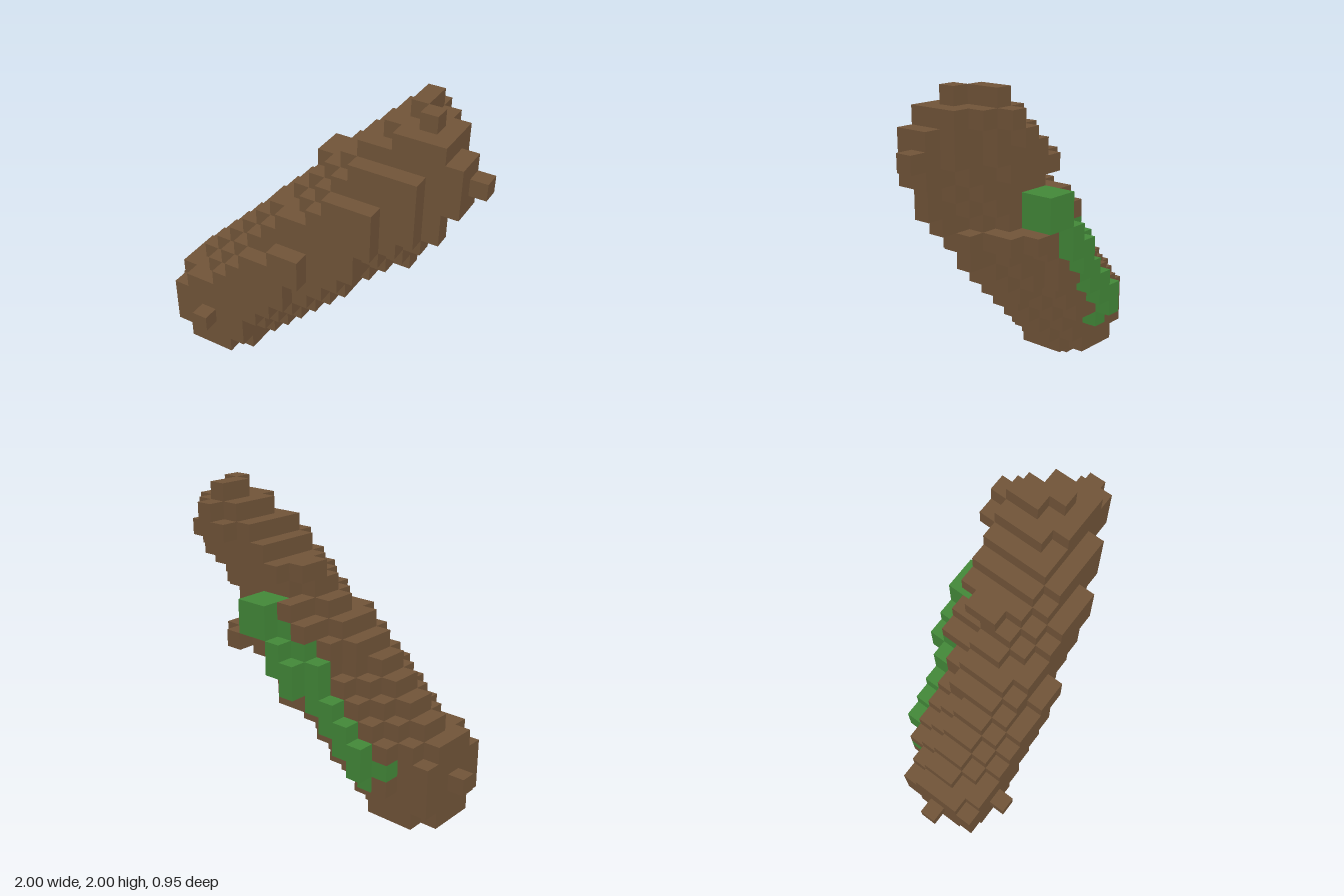
import * as THREE from 'three';

const S = 2 / 19;            // cube size
const NX = 19, NY = 19, NZ = 9;

// Lumps and knots added to the trunk: [x0, x1, y0, y1, z0, z1] in cubes
const KNOTS = [
  // ragged upper end
  [17, 17, 14, 16, 3, 4], [18, 18, 15, 15, 3, 3], [15, 16, 16, 16, 2, 4],
  [13, 15, 17, 17, 1, 3], [16, 16, 17, 17, 2, 4], [14, 15, 17, 17, 4, 4],
  [14, 14, 18, 18, 1, 2], [15, 15, 18, 18, 3, 3],
  [14, 14, 17, 17, 0, 0], [13, 13, 16, 16, 0, 0],
  // stepped ridge behind the upper end
  [10, 11, 14, 14, 1, 4], [11, 12, 15, 15, 1, 3], [12, 13, 16, 16, 1, 3],
  // knots on the sides
  [9, 9, 14, 14, 2, 3], [14, 14, 9, 9, 3, 3], [12, 12, 9, 9, 5, 6],
  [12, 12, 10, 10, 0, 1], [13, 13, 10, 10, 1, 1],
  [8, 9, 7, 8, 1, 1], [3, 3, 5, 5, 2, 2], [8, 8, 11, 11, 1, 1], [9, 9, 12, 12, 1, 1],
];

// Moss climbing along the back
const MOSS = [
  [3, 3, 4, 4, 2, 2], [4, 4, 3, 3, 2, 2], [4, 4, 4, 5, 1, 1], [5, 5, 5, 6, 1, 1],
  [6, 6, 6, 7, 1, 1], [7, 7, 7, 9, 1, 1], [8, 8, 8, 9, 0, 0], [8, 8, 10, 10, 1, 1],
  [9, 9, 9, 10, 0, 0], [9, 9, 11, 11, 1, 1], [10, 11, 11, 12, 0, 1],
];

const inBoxes = (boxes, x, y, z) => boxes.some(([a, b, c, d, e, f]) =>
  x >= a && x <= b && y >= c && y <= d && z >= e && z <= f);

// Leaning trunk: cubes within a radius of its axis, with a hollow at the back
const axis = new THREE.Line3(new THREE.Vector3(3, 3, 5), new THREE.Vector3(14, 14, 3.1));
const p = new THREE.Vector3(), q = new THREE.Vector3();
function inTrunk(x, y, z) {
  if (z === 0) return false;
  // hollow at the back, below the upper end
  if (z === 1 && (y === 13 || (x > 11 && (y === 11 || y === 12)))) return false;
  if (z === 1 && (x > 15 || (y > 13 && x >= y))) return false;
  if (z < 4 && y > 10 && y < 15 && x - y >= z) return false;
  // upper end sloping back from the front
  if (z === 6 && (x > 13 || y > 13 || (x < 11 && y > 12))) return false;
  if (z === 5 && (x > 15 || y > 15)) return false;
  p.set(x, y, z);
  axis.closestPointToPoint(p, true, q);
  return p.distanceTo(q) <= 3.05;
}

// 0 = empty, 1 = bark, 2 = moss
function cubeAt(x, y, z) {
  if (x < 0 || y < 0 || z < 0 || x >= NX || y >= NY || z >= NZ) return 0;
  if (inBoxes(MOSS, x, y, z)) return 2;
  return inBoxes(KNOTS, x, y, z) || inTrunk(x, y, z) ? 1 : 0;
}

// Outer cube faces of one kind
function cubeSurface(kind) {
  const pos = [], nor = [], idx = [];
  for (let x = 0; x < NX; x++) for (let y = 0; y < NY; y++) for (let z = 0; z < NZ; z++) {
    if (cubeAt(x, y, z) !== kind) continue;
    for (let d = 0; d < 3; d++) for (const s of [-1, 1]) {
      const n = [0, 0, 0];
      n[d] = s;
      if (cubeAt(x + n[0], y + n[1], z + n[2])) continue;
      const start = pos.length / 3;
      for (const [u, v] of [[-1, -1], [1, -1], [1, 1], [-1, 1]]) {
        const c = [0, 0, 0];
        c[d] = s;
        c[(d + 1) % 3] = u * s;   // flipped on the negative side to face outward
        c[(d + 2) % 3] = v;
        pos.push((x + 0.5 + c[0] / 2 - NX / 2) * S, (y + 0.5 + c[1] / 2) * S, (z + 0.5 + c[2] / 2 - NZ / 2) * S);
        nor.push(...n);
      }
      idx.push(start, start + 1, start + 2, start, start + 2, start + 3);
    }
  }
  const g = new THREE.BufferGeometry();
  g.setAttribute('position', new THREE.Float32BufferAttribute(pos, 3));
  g.setAttribute('normal', new THREE.Float32BufferAttribute(nor, 3));
  g.setIndex(idx);
  return g;
}

export function createModel() {
  const bark = new THREE.MeshStandardMaterial({ color: 0x725539 });
  bark.name = 'bark brown';
  const green = new THREE.MeshStandardMaterial({ color: 0x438939 });
  green.name = 'moss green';

  const group = new THREE.Group();
  group.name = 'fallenLog';
  const trunk = new THREE.Mesh(cubeSurface(1), bark);
  trunk.name = 'trunk';
  const moss = new THREE.Mesh(cubeSurface(2), green);
  moss.name = 'moss';
  group.add(trunk, moss);
  return group;
}
